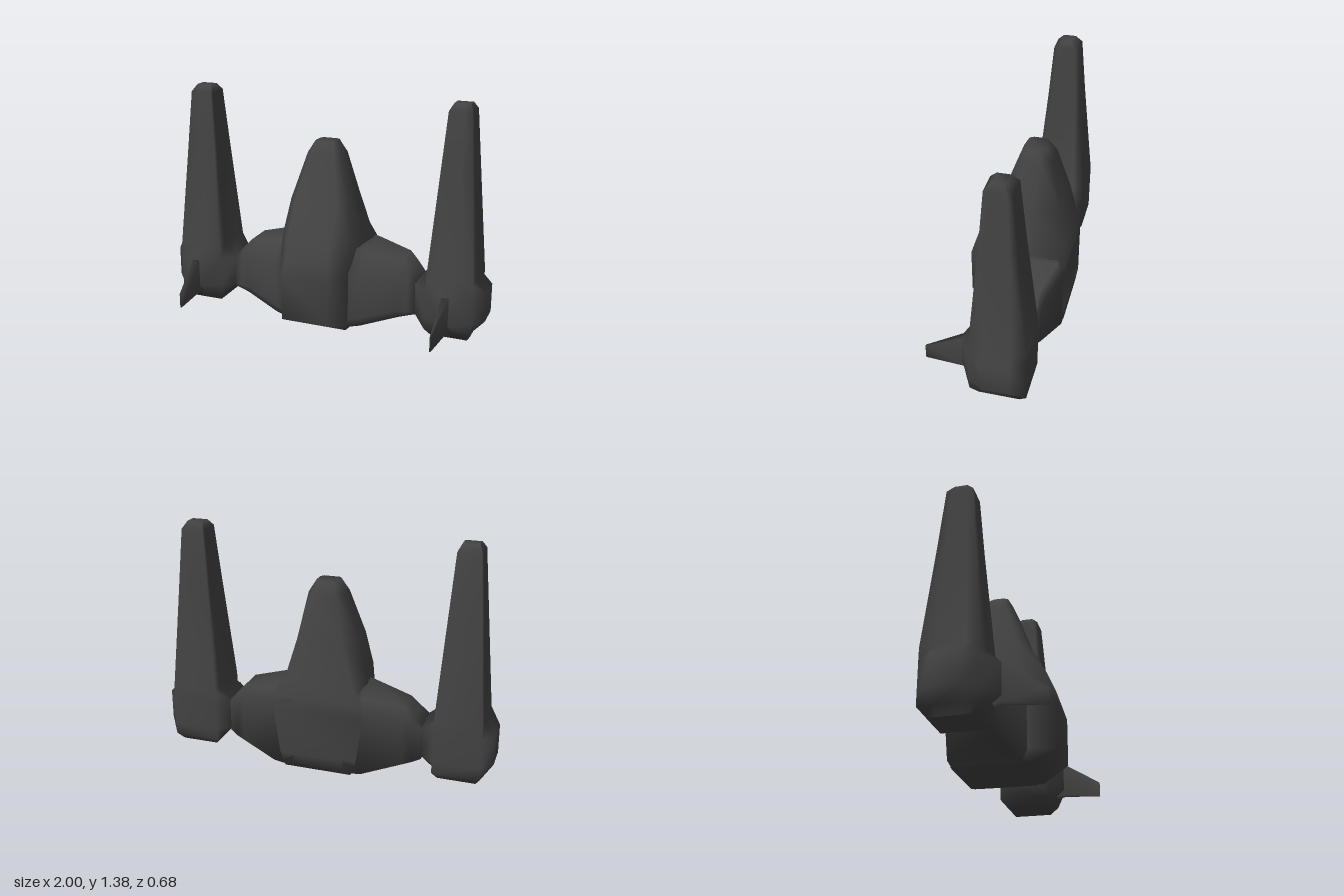
import * as THREE from 'three';

// Skin a list of equal-length rings of [x, y, z], closed with end caps
function loft(rings) {
  const n = rings[0].length, last = (rings.length - 1) * n;
  const pos = rings.flat(2), idx = [];
  for (let r = 0; r < rings.length - 1; r++) {
    for (let i = 0; i < n; i++) {
      const a = r * n + i, b = r * n + (i + 1) % n;
      idx.push(a, b, b + n, a, b + n, a + n);
    }
  }
  for (let i = 1; i < n - 1; i++) {
    idx.push(0, i + 1, i, last, last + i, last + i + 1);
  }
  // Make all faces point outward, whichever way the rings run
  const p = i => new THREE.Vector3().fromArray(pos, i * 3);
  let volume = 0;
  for (let t = 0; t < idx.length; t += 3) {
    volume += p(idx[t]).dot(p(idx[t + 1]).cross(p(idx[t + 2])));
  }
  if (volume < 0) idx.reverse();
  const g = new THREE.BufferGeometry();
  g.setAttribute('position', new THREE.Float32BufferAttribute(pos, 3));
  g.setIndex(idx);
  g.computeVertexNormals();
  return g;
}

// Hull levels: y, then half outline as [x, z] from back to front
const hullLevels = [
  [0.0, [[0.2, -0.335], [0.21, -0.1], [0.21, 0.02], [0.2, 0.1]]],
  [0.08, [[0.23, -0.335], [0.24, -0.1], [0.21, 0.1], [0.145, 0.255]]],
  [0.36, [[0.27, -0.335], [0.24, -0.1], [0.21, 0.1], [0.145, 0.255]]],
  [0.44, [[0.26, -0.335], [0.235, -0.1], [0.215, 0.1], [0.13, 0.23]]],
  [0.55, [[0.2, -0.317], [0.222, -0.11], [0.215, 0.07], [0.13, 0.193]]],
  [0.76, [[0.14, -0.283], [0.183, -0.12], [0.18, 0.02], [0.13, 0.08]]],
  [1.03, [[0.075, -0.212], [0.106, -0.16], [0.106, -0.06], [0.075, -0.018]]],
  [1.1, [[0.05, -0.17], [0.065, -0.14], [0.065, -0.08], [0.05, -0.055]]],
];

// Wing stations: x, bottom y, top y, back z, front z, bevel size
const wingStations = [
  [0.15, 0.0, 0.5, -0.335, 0.11, 0.06],
  [0.27, 0.02, 0.475, -0.335, 0.08, 0.06],
  [0.49, 0.088, 0.43, -0.275, 0.01, 0.05],
  [0.54, 0.103, 0.375, -0.26, -0.007, 0.03],
  [0.59, 0.118, 0.32, -0.232, -0.02, 0.01],
];

// Tower levels: y, half width, half depth, outer reach, inner reach, front reach
const towerLevels = [
  [0.015, 0.11, 0.115, 0.11, 0.11, 0.115],
  [0.065, 0.137, 0.16, 0.137, 0.137, 0.16],
  [0.135, 0.137, 0.16, 0.2, 0.22, 0.23],
  [0.31, 0.137, 0.16, 0.2, 0.22, 0.23],
  [0.38, 0.135, 0.16, 0.135, 0.135, 0.16],
  [1.0, 0.091, 0.102, 0.091, 0.091, 0.102],
  [1.34, 0.066, 0.075, 0.066, 0.066, 0.075],
  [1.38, 0.046, 0.036, 0.046, 0.046, 0.036],
];

export function createModel() {
  const model = new THREE.Group();
  const charcoal = new THREE.MeshStandardMaterial({ color: 0x424242 });
  charcoal.name = 'charcoal';
  const add = (name, rings) => {
    const mesh = new THREE.Mesh(loft(rings), charcoal);
    mesh.name = name;
    model.add(mesh);
  };

  // Central hull with tapering top and blunt nose
  add('hull', hullLevels.map(([y, half]) => [
    ...half.map(([x, z]) => [x, y, z]),
    ...half.slice().reverse().map(([x, z]) => [-x, y, z]),
  ]));

  for (const [side, s] of [['left', 1], ['right', -1]]) {
    // Stubby wing joining hull and tower
    add(side + 'Wing', wingStations.map(([x, y0, y1, z0, z1, b]) => [
      [s * x, y0, z0], [s * x, y0, z1 - b * 0.5], [s * x, y0 + b, z1],
      [s * x, y1 - b * 2, z1], [s * x, y1, z1 - b * 1.6],
      [s * x, y1, z0 + b * 0.6], [s * x, y1 - b, z0],
    ]));

    // Tall tower, swelling outward near its foot
    add(side + 'Tower', towerLevels.map(([y, w, d, out, inn, front]) => {
      const e = Math.min(0.08, d * 0.6), f = Math.min(0.025, w * 0.4);
      return [
        [w, -d], [out, -e], [out, e], [w, d], [f, front],
        [-f, front], [-w, d], [-inn, e * 1.2], [-inn, -e * 1.2], [-w, -d],
      ].map(([x, z]) => [s * (0.8 + x), y, z - 0.12]);
    }));

    // Thin forward spike: z, half width, bottom y, top y, centre x
    add(side + 'Spike', [
      [0.06, 0.03, 0.09, 0.34, 0.8],
      [0.11, 0.022, 0.1, 0.308, 0.798],
      [0.34, 0.004, 0.08, 0.168, 0.783],
    ].map(([z, w, y0, y1, x]) => [
      [s * (x - w), y0, z], [s * (x + w), y0, z],
      [s * (x + w), y1, z], [s * (x - w), y1, z],
    ]));
  }
  return model;
}
